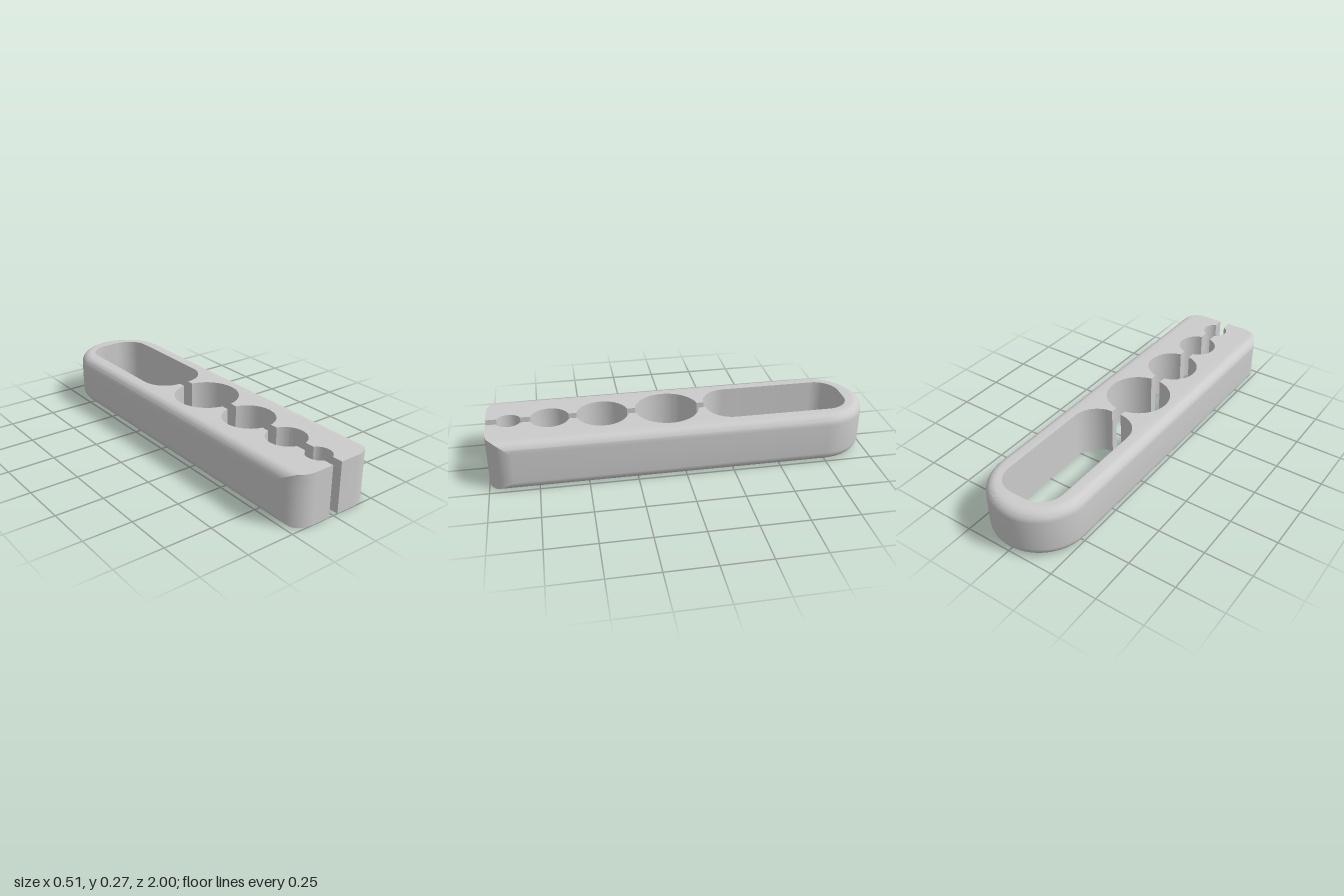
import * as THREE from 'three';
import { toCreasedNormals } from 'three/addons/utils/BufferGeometryUtils.js';

const W = 0.253, H = 0.267;   // half width and height
const FILLET = 0.053;         // rounding of the long edges and the back end
const CORNER = 0.125;         // vertical rounding of the front corners
const GAP = 0.027;            // half width of the slit
// Gripping holes, front to back: [centre z, radius]
const HOLES = [[0.885, 0.066], [0.675, 0.102], [0.403, 0.135], [0.063, 0.168]];

// Points on an arc in plan; angle 0 is +x, PI/2 is the front (+z)
function arc(cx, cz, r, from, to, steps) {
  return Array.from({ length: steps + 1 }, (_, i) => {
    const a = from + (to - from) * i / steps;
    return [cx + r * Math.cos(a), cz + r * Math.sin(a)];
  });
}

// Outer edge of the left half, front to back, with the side inset by d
function outerHalf(d) {
  const w = W - d, cx = W - CORNER;
  const start = Math.acos((w - cx) / CORNER);
  return [
    [GAP, 1],
    ...arc(cx, 1 - CORNER, CORNER, Math.PI / 2, start, 14),
    ...arc(0, -1 + W, w, 0, -Math.PI / 2, 24),
  ];
}

// Inner edge of the left half, front to back: slit, holes and handle slot
function innerHalf() {
  const pts = [[GAP, 1]];
  for (const [z, r] of HOLES) {
    const a = Math.acos(GAP / r);
    pts.push(...arc(0, z, r, a, -a, 32));
  }
  const sw = 0.163, rf = sw - GAP, rb = 0.12;
  pts.push(...arc(GAP, -0.14 - rf, rf, Math.PI / 2, 0, 14));
  pts.push(...arc(sw - rb, -0.9 + rb, rb, 0, -Math.PI / 2, 14));
  pts.push([0, -0.9]);
  return pts;
}

// Closed plan outline, counterclockwise from above
function outline(d) {
  const mirror = (pts) => pts.map(([x, z]) => [-x, z]);
  const outer = outerHalf(d), inner = innerHalf();
  return [
    ...outer,
    ...mirror(outer).reverse().slice(1),
    ...mirror(inner).slice(1),
    ...inner.slice(1, -1).reverse(),
  ];
}

function bodyGeometry() {
  // Levels from bottom to top: [y, inset]
  const steps = 9, levels = [];
  for (let i = 0; i <= steps; i++) {
    const a = i / steps * Math.PI / 2;
    levels.push([FILLET * (1 - Math.sin(a)), FILLET * (1 - Math.cos(a))]);
  }
  levels.reverse();
  levels.sort((p, q) => p[0] - q[0]);
  levels.push(...levels.map(([y, d]) => [H - y, d]).reverse());

  const position = [], index = [];
  const rings = levels.map(([, d]) => outline(d));
  rings.forEach((ring, j) => ring.forEach(([x, z]) => position.push(x, levels[j][0], z)));

  // Walls
  const n = rings[0].length, top = (levels.length - 1) * n;
  for (let j = 0; j < levels.length - 1; j++) {
    for (let i = 0; i < n; i++) {
      const a = j * n + i, b = j * n + (i + 1) % n;
      index.push(a, b, b + n, a, b + n, a + n);
    }
  }
  // Flat top and bottom
  const flat = rings[0].map(([x, z]) => new THREE.Vector2(x, -z));
  for (const [a, b, c] of THREE.ShapeUtils.triangulateShape(flat, [])) {
    index.push(top + a, top + b, top + c, a, c, b);
  }

  const geometry = new THREE.BufferGeometry();
  geometry.setAttribute('position', new THREE.Float32BufferAttribute(position, 3));
  geometry.setIndex(index);
  return toCreasedNormals(geometry, 0.45);
}

export function createModel() {
  const group = new THREE.Group();
  group.name = 'slottedClip';
  const body = new THREE.Mesh(bodyGeometry(), new THREE.MeshStandardMaterial({ color: 0xcccccc }));
  body.name = 'clipBody';
  group.add(body);
  return group;
}
